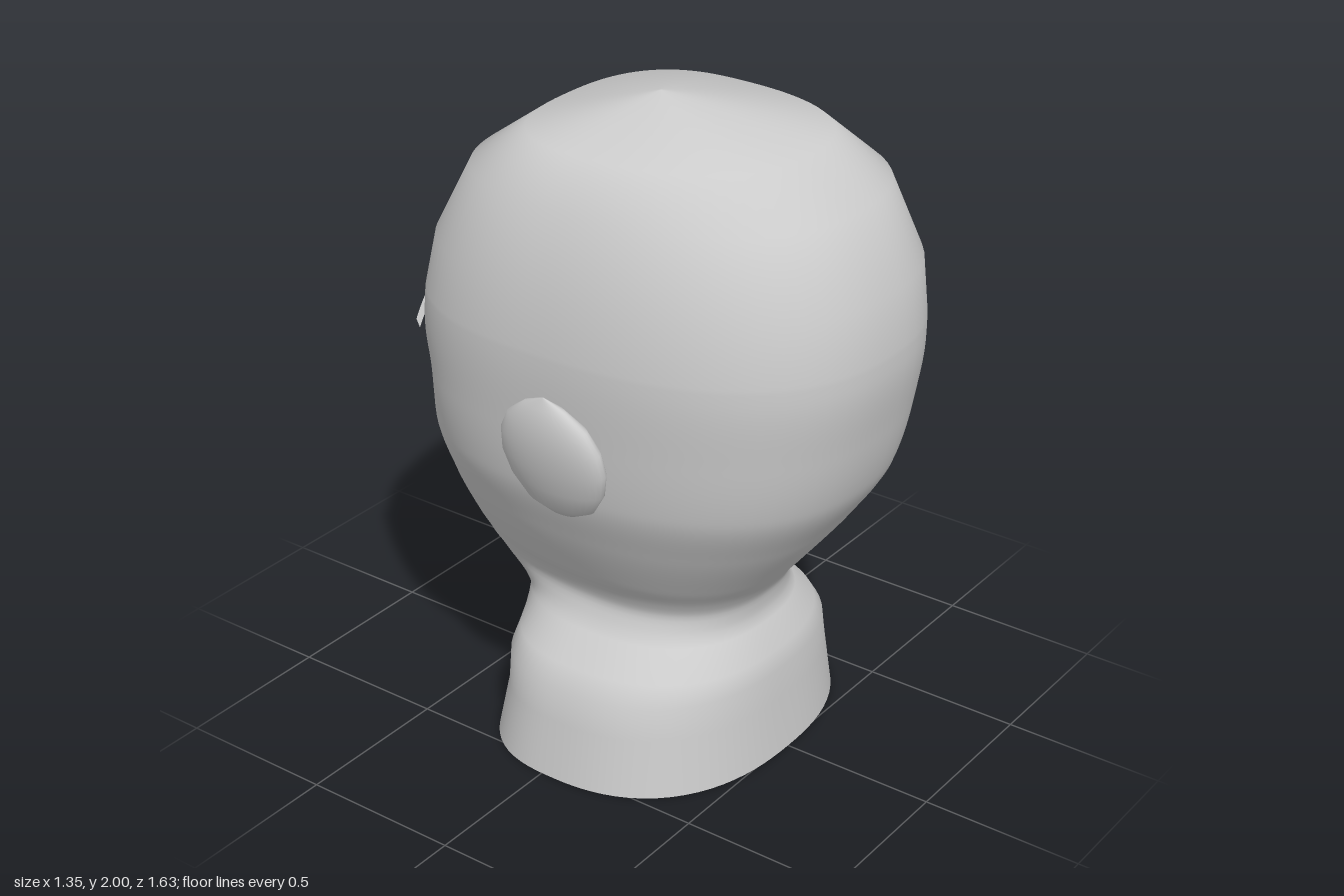
import * as THREE from 'three';

const ZC = 0.03; // depth of the head's vertical axis

// Cross-sections: height, half width, back z, front z, front roundness exponent
const SECTIONS = [
  [0, 0.557, 0.512, -0.36, 2.6],
  [0.18, 0.525, 0.495, -0.325, 2.6],
  [0.28, 0.505, 0.49, -0.33, 2.6],
  [0.34, 0.46, 0.475, -0.325, 2.5],
  [0.42, 0.375, 0.43, -0.35, 2.3],
  [0.46, 0.348, 0.42, -0.43, 2.1],
  [0.51, 0.332, 0.425, -0.55, 2.05],
  [0.55, 0.345, 0.445, -0.585, 2.1],
  [0.63, 0.395, 0.508, -0.6, 2.2],
  [0.8, 0.482, 0.64, -0.62, 2.4],
  [0.97, 0.545, 0.745, -0.62, 2.6],
  [1.15, 0.567, 0.79, -0.61, 2.8],
  [1.36, 0.58, 0.818, -0.625, 2.7],
  [1.58, 0.565, 0.8, -0.585, 2.6],
  [1.8, 0.495, 0.7, -0.47, 2.6],
  [1.92, 0.38, 0.53, -0.3, 2.6],
  [2, 0.001, 0.031, 0.029, 2.2],
];

// Ridge height of the nose along y
const NOSE = [[0.76, 0], [0.8, 0.035], [0.9, 0.192], [0.94, 0.178], [1.04, 0.115], [1.14, 0.01], [1.2, 0]];

// Monotone cubic interpolation of one table column
function sample(table, k, y) {
  const slope = (i) => (table[i + 1][k] - table[i][k]) / (table[i + 1][0] - table[i][0]);
  const tangent = (i) => {
    if (i === 0) return slope(0);
    if (i === table.length - 1) return slope(i - 1);
    const a = slope(i - 1), b = slope(i);
    return a * b > 0 ? (2 * a * b) / (a + b) : 0;
  };
  let i = 0;
  while (i < table.length - 2 && y > table[i + 1][0]) i++;
  const h = table[i + 1][0] - table[i][0], t = (y - table[i][0]) / h;
  const t2 = t * t, t3 = t2 * t;
  return (2 * t3 - 3 * t2 + 1) * table[i][k] + (t3 - 2 * t2 + t) * h * tangent(i)
    + (3 * t2 - 2 * t3) * table[i + 1][k] + (t3 - t2) * h * tangent(i + 1);
}

function linear(table, y) {
  for (let i = 0; i < table.length - 1; i++) {
    const [a, p] = table[i], [b, q] = table[i + 1];
    if (y >= a && y <= b) return p + ((q - p) * (y - a)) / (b - a);
  }
  return 0;
}

const bump = (x, y, cx, cy, sx, sy) => Math.exp(-(((x - cx) / sx) ** 2) - ((y - cy) / sy) ** 2);

// How far the face stands forward of the plain skull
function relief(x, y) {
  const ax = Math.abs(x);
  const noseWidth = THREE.MathUtils.clamp(0.125 - (y - 0.85) * 0.16, 0.075, 0.125);
  let d = linear(NOSE, y) * Math.max(0, 1 - ax / noseWidth) ** 1.2;
  d += 0.042 * bump(ax, y, 0, 0.755, 0.12, 0.04); // upper lip
  d += 0.036 * bump(ax, y, 0, 0.685, 0.11, 0.035); // lower lip
  d -= 0.012 * bump(ax, y, 0, 0.72, 0.12, 0.014); // mouth line
  d += 0.03 * bump(ax, y, 0.08, 0.87, 0.05, 0.05); // nostril wings
  d += 0.02 * bump(ax, y, 0.27, 0.95, 0.12, 0.1); // cheeks
  d -= 0.07 * bump(ax, y, 0.215, 1.13, 0.11, 0.075); // eye sockets
  d += 0.02 * bump(ax, y, 0.22, 1.27, 0.17, 0.07); // brow ridge
  return d;
}

function headGeometry() {
  // Few rows on neck and skull, many across the face
  const rows = SECTIONS.map((s) => s[0]).filter((y) => y < 0.42 || y > 1.4);
  for (let y = 0.42; y < 1.41; y += 0.015) rows.push(y);
  rows.sort((a, b) => a - b);
  const N = 112, pos = [], index = [];
  rows.forEach((y, r) => {
    const [w, back, front, nFront] = [1, 2, 3, 4].map((k) => sample(SECTIONS, k, y));
    for (let c = 0; c < N; c++) {
      const s = (2 * c) / N - 1; // columns crowd towards the face
      const a = Math.PI * Math.sign(s) * Math.abs(s) ** 1.5;
      const sx = Math.sin(a), cz = -Math.cos(a);
      const n = cz < 0 ? nFront : 2.4;
      const depth = cz < 0 ? ZC - front : back - ZC;
      const rad = (Math.abs(sx / w) ** n + Math.abs(cz / depth) ** n) ** (-1 / n);
      const x = rad * sx;
      let z = ZC + rad * cz;
      if (z < -0.1 && y > 0.5 && y < 1.5) z -= relief(x, y) * THREE.MathUtils.smoothstep(-z, 0.1, 0.35);
      pos.push(x, y, z);
      if (r < rows.length - 1) {
        const i = r * N + c, j = r * N + ((c + 1) % N);
        index.push(i, i + N, j, j, i + N, j + N);
      }
    }
  });
  const g = new THREE.BufferGeometry();
  g.setAttribute('position', new THREE.Float32BufferAttribute(pos, 3));
  g.setIndex(index);
  g.computeVertexNormals();
  return g;
}

// Lens-shaped ear, pointed at the top
function earGeometry() {
  const profile = [[0, -0.195], [0.05, -0.19], [0.115, -0.155], [0.16, -0.085], [0.178, -0.01],
    [0.17, 0.06], [0.135, 0.125], [0.07, 0.175], [0, 0.205]];
  return new THREE.LatheGeometry(profile.map(([r, y]) => new THREE.Vector2(r, y)), 32).scale(0.33, 1, 1);
}

// Thin arched ribbon standing just off the forehead
function browGeometry(side) {
  const pos = [], index = [], n = 14;
  for (let i = 0; i <= n; i++) {
    const t = i / n, x = 0.075 + 0.265 * t;
    const y = 1.245 - 0.025 * t + 0.05 * Math.sin(Math.PI * t);
    const z = -0.665 + 0.05 * t * t;
    const h = 0.045 - 0.02 * t;
    pos.push(side * x, y, z + 0.012, side * x, y + h, z);
    if (i < n) index.push(2 * i, 2 * i + 1, 2 * i + 2, 2 * i + 2, 2 * i + 1, 2 * i + 3);
  }
  if (side < 0) index.reverse();
  const g = new THREE.BufferGeometry();
  g.setAttribute('position', new THREE.Float32BufferAttribute(pos, 3));
  g.setIndex(index);
  g.computeVertexNormals();
  return g;
}

export function createModel() {
  const group = new THREE.Group();
  group.name = 'headBust';
  const grey = new THREE.MeshStandardMaterial({ color: 0xcccccc, side: THREE.DoubleSide });
  grey.name = 'plain grey';

  const add = (name, geometry) => {
    const mesh = new THREE.Mesh(geometry, grey);
    mesh.name = name;
    group.add(mesh);
    return mesh;
  };

  add('headAndNeck', headGeometry());
  // The face looks towards -z
  for (const side of [1, -1]) {
    const label = side > 0 ? 'PlusX' : 'MinusX';
    const ear = add('ear' + label, earGeometry());
    ear.position.set(side * 0.605, 1.125, 0.108);
    ear.rotation.z = -side * 0.2;
    add('eye' + label, new THREE.SphereGeometry(0.03, 20, 14)).position.set(side * 0.24, 1.135, -0.522);
    add('eyebrow' + label, browGeometry(side));
  }
  return group;
}
